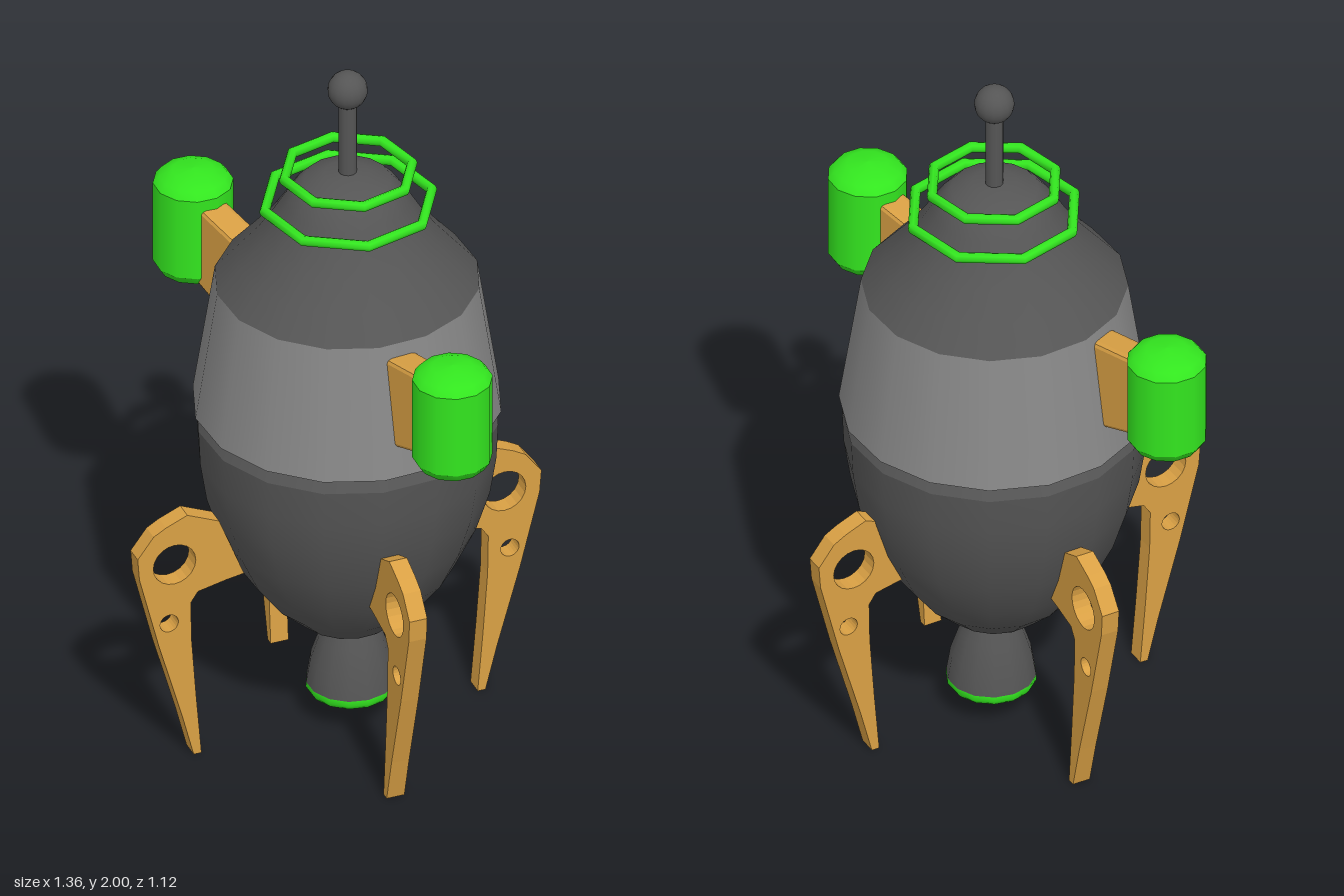
import * as THREE from 'three';

const paint = (color) => new THREE.MeshStandardMaterial({ color, side: THREE.DoubleSide });

export function createModel() {
  const dark = paint(0x555555), light = paint(0x888888);
  const green = paint(0x33e61f), orange = paint(0xd9a044);
  const model = new THREE.Group();
  model.name = 'rocketPod';

  const add = (parent, name, geometry, material, x = 0, y = 0, z = 0) => {
    const mesh = new THREE.Mesh(geometry, material);
    mesh.name = name;
    mesh.position.set(x, y, z);
    parent.add(mesh);
    return mesh;
  };
  // Turned part from [radius, height] pairs, listed bottom to top
  const turned = (pairs, sides = 16) =>
    new THREE.LatheGeometry(pairs.map(([r, y]) => new THREE.Vector2(r, y)), sides);
  const polygon = (pairs) => new THREE.Shape(pairs.map(([x, y]) => new THREE.Vector2(x, y)));

  // Hull, slightly behind the legs' centre
  const hull = new THREE.Group();
  hull.name = 'hull';
  hull.position.set(0.008, 0, -0.03);
  model.add(hull);

  add(hull, 'lowerHull', turned([
    [0, 0.285], [0.07, 0.29], [0.13, 0.32], [0.21, 0.395], [0.285, 0.495], [0.34, 0.61],
    [0.378, 0.73], [0.395, 0.84], [0.4, 0.945],
  ]), dark);
  add(hull, 'lowerHullRim', turned([[0.4, 0.945], [0.385, 0.973]]), dark);
  add(hull, 'lowerHullLid', turned([[0.385, 0.973], [0, 0.973]]), dark);
  add(hull, 'hullJoint', new THREE.CylinderGeometry(0.12, 0.12, 0.03, 16), orange, 0, 0.98, 0);
  add(hull, 'upperBandFloor', turned([[0, 0.987], [0.408, 0.987]]), dark);
  add(hull, 'upperBand', turned([[0.408, 0.987], [0.35, 1.365]]), light);
  add(hull, 'noseCone', turned([
    [0.35, 1.365], [0.29, 1.435], [0.235, 1.5], [0.195, 1.56], [0.165, 1.61],
    [0.145, 1.64], [0.115, 1.672], [0.06, 1.69], [0, 1.695],
  ]), dark);

  // Antenna and the octagonal halo rings
  add(hull, 'antennaRod', new THREE.CylinderGeometry(0.024, 0.024, 0.26, 12), dark, -0.003, 1.8, -0.004);
  add(hull, 'antennaBall', new THREE.SphereGeometry(0.053, 16, 12), dark, -0.003, 1.947, -0.004);
  for (const [name, radius, y] of [['lowerHalo', 0.225, 1.6], ['upperHalo', 0.172, 1.69]]) {
    const ring = new THREE.TorusGeometry(radius, 0.0145, 8, 8).rotateZ(Math.PI / 8).rotateX(Math.PI / 2);
    add(hull, name, ring, green, -0.003, y, -0.006);
  }

  // Engine nozzle with a green lip and recessed floor
  const nozzle = new THREE.Group();
  nozzle.name = 'nozzle';
  nozzle.position.z = -0.012;
  hull.add(nozzle);
  add(nozzle, 'nozzleBell', turned([[0.119, 0.11], [0.108, 0.18], [0.085, 0.25], [0.06, 0.31]], 14), dark);
  add(nozzle, 'nozzleLip', turned([
    [0, 0.125], [0.085, 0.12], [0.095, 0.088], [0.112, 0.085], [0.12, 0.098], [0.119, 0.112],
  ], 14), green);

  // Side pods on rounded pylons
  const pylonShape = polygon([[0.29, 1.08], [0.34, 1.075], [0.5, 1.125], [0.5, 1.34], [0.29, 1.31]]);
  const pylonGeometry = new THREE.ExtrudeGeometry(pylonShape, {
    depth: 0.055, bevelEnabled: true, bevelThickness: 0.015, bevelSize: 0.012, bevelSegments: 2,
  }).translate(0, 0, -0.0275);
  const podGeometry = turned([
    [0, 1.085], [0.055, 1.095], [0.09, 1.115], [0.106, 1.14], [0.106, 1.14],
    [0.106, 1.38], [0.106, 1.38], [0.09, 1.4], [0.055, 1.415], [0, 1.42],
  ], 12);
  for (const side of [1, -1]) {
    const arm = new THREE.Group();
    arm.name = side > 0 ? 'leftPodArm' : 'rightPodArm';
    arm.position.set(0, side > 0 ? -0.003 : 0.009, 0.043);
    arm.rotation.y = side > 0 ? 0 : Math.PI;
    model.add(arm);
    add(arm, 'pylon', pylonGeometry, orange);
    add(arm, 'pod', podGeometry, green, 0.574);
  }

  // Four landing legs with two lightening holes each
  const legShape = polygon([
    [0.39, 0], [0.412, 0], [0.445, 0.13], [0.51, 0.36], [0.565, 0.58], [0.57, 0.645],
    [0.525, 0.705], [0.49, 0.725], [0.43, 0.75], [0.34, 0.71], [0.27, 0.53],
    [0.32, 0.522], [0.4, 0.505], [0.42, 0.475], [0.418, 0.36], [0.405, 0.18],
  ]);
  for (const [x, y, radius] of [[0.466, 0.605, 0.06], [0.481, 0.425, 0.026]]) {
    legShape.holes.push(new THREE.Path().absarc(x, y, radius, 0, Math.PI * 2, true));
  }
  const legGeometry = new THREE.ExtrudeGeometry(legShape, {
    depth: 0.05, bevelEnabled: false, curveSegments: 10,
  }).translate(0, 0, -0.025);
  ['leftLeg', 'frontLeg', 'rightLeg', 'backLeg'].forEach((name, i) => {
    add(model, name, legGeometry, orange).rotation.y = -THREE.MathUtils.degToRad(14 + 90 * i);
  });

  return model;
}
